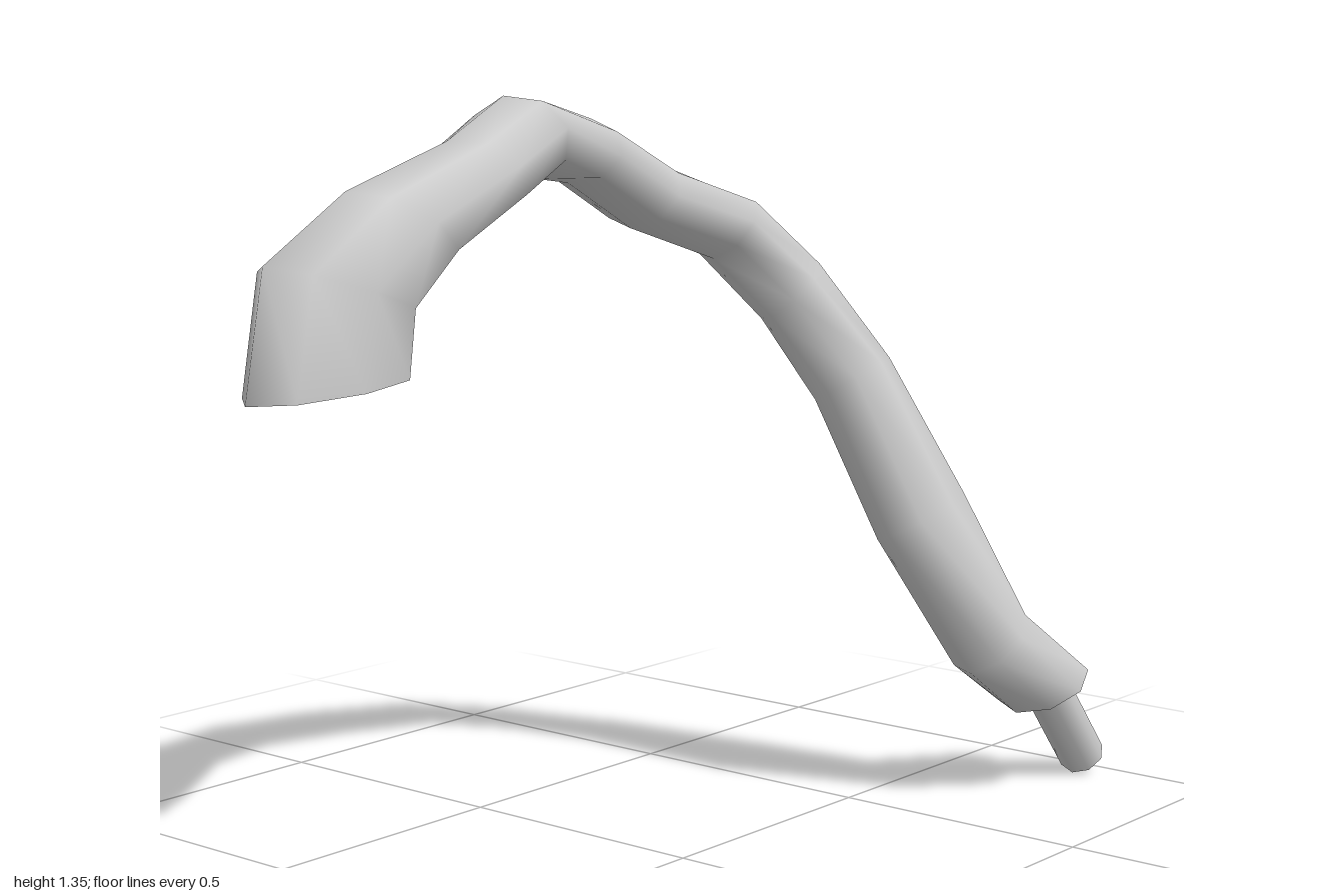
import * as THREE from 'three';

const SIDES = 8;

// Each section: outer edge x, y, inner edge x, y, depth z, half width across
const SECTIONS = [
  [-1.0, 0.92, -0.68, 0.94, 0.01, 0.085],
  [-0.96, 1.12, -0.67, 1.03, 0.01, 0.085],
  [-0.79, 1.22, -0.59, 1.1, 0.005, 0.088],
  [-0.53, 1.285, -0.41, 1.165, -0.04, 0.09],
  [-0.29, 1.35, -0.21, 1.21, -0.145, 0.088],
  [0.0, 1.305, -0.06, 1.195, -0.21, 0.088],
  [0.2, 1.22, 0.13, 1.105, -0.23, 0.09],
  [0.4, 1.15, 0.32, 1.04, -0.19, 0.085],
  [0.51, 1.02, 0.4, 0.93, -0.115, 0.083],
  [0.6, 0.83, 0.45, 0.79, -0.02, 0.083],
  [0.67, 0.58, 0.47, 0.53, 0.11, 0.083],
  [0.72, 0.37, 0.6, 0.26, 0.21, 0.088],
  [0.91, 0.24, 0.72, 0.165, 0.235, 0.085],
];

// Rings of points square to the bent centre line
function makeRings() {
  const centres = SECTIONS.map(([ux, uy, lx, ly, z]) => new THREE.Vector3((ux + lx) / 2, (uy + ly) / 2, z));
  const last = centres.length - 1;
  return SECTIONS.map(([ux, uy, lx, ly, , half], i) => {
    const up = new THREE.Vector3((ux - lx) / 2, (uy - ly) / 2, 0);
    const along = centres[Math.min(i + 1, last)].clone().sub(centres[Math.max(i - 1, 0)]);
    if (i === 0 || i === last) along.z = 0;
    const side = along.cross(up).normalize().multiplyScalar(half);
    return Array.from({ length: SIDES }, (_, j) => {
      const a = (j / SIDES) * Math.PI * 2;
      return centres[i].clone().addScaledVector(up, Math.cos(a)).addScaledVector(side, Math.sin(a));
    });
  });
}

function buildGeometry(points, index) {
  const geometry = new THREE.BufferGeometry().setFromPoints(points);
  geometry.setIndex(index);
  geometry.computeVertexNormals();
  return geometry;
}

export function createModel() {
  const group = new THREE.Group();
  const material = new THREE.MeshStandardMaterial({ color: 0xcccccc, side: THREE.DoubleSide });
  const add = (name, geometry) => {
    const mesh = new THREE.Mesh(geometry, material);
    mesh.name = name;
    group.add(mesh);
    return mesh;
  };

  // Curved pipe, open at its wide mouth
  const rings = makeRings();
  const index = [];
  for (let i = 0; i < rings.length - 1; i++) {
    for (let j = 0; j < SIDES; j++) {
      const k = (j + 1) % SIDES;
      const a = i * SIDES + j, b = i * SIDES + k;
      index.push(a, b, a + SIDES, b, b + SIDES, a + SIDES);
    }
  }
  add('curvedPipe', buildGeometry(rings.flat(), index));

  // Flat face closing the narrow end
  const capIndex = [];
  for (let j = 1; j < SIDES - 1; j++) capIndex.push(0, j, j + 1);
  add('endCap', buildGeometry(rings[rings.length - 1], capIndex));

  // Thin rod leaving the closed end
  const from = new THREE.Vector3(0.8, 0.225, 0.237);
  const to = new THREE.Vector3(0.963, 0.031, 0.237);
  const rod = add('endRod', new THREE.CylinderGeometry(0.045, 0.045, from.distanceTo(to), SIDES));
  rod.position.copy(from).add(to).multiplyScalar(0.5);
  rod.quaternion.setFromUnitVectors(new THREE.Vector3(0, 1, 0), to.clone().sub(from).normalize());

  return group;
}
